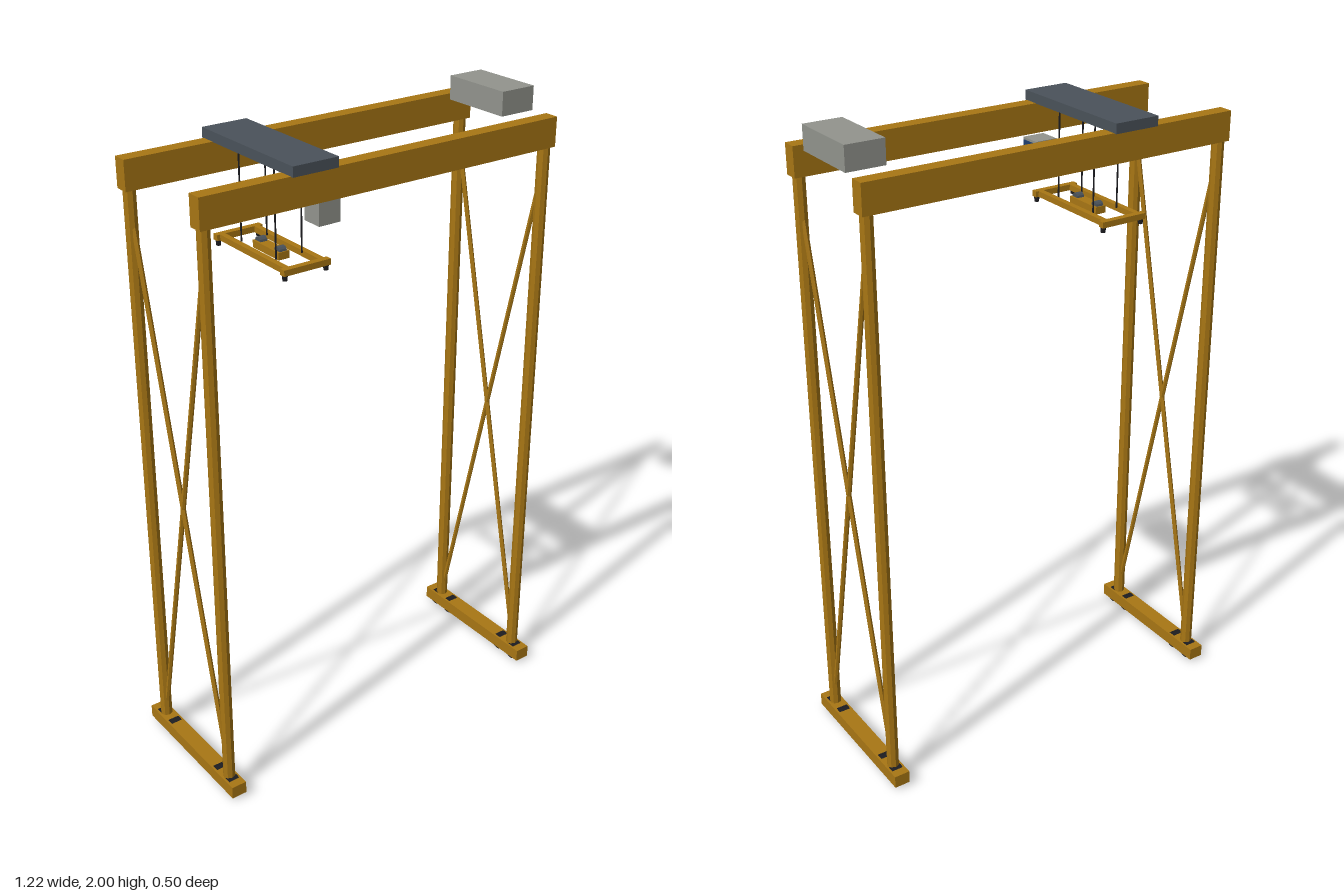
import * as THREE from 'three';

const mat = (color) => new THREE.MeshStandardMaterial({ color, flatShading: true });

export function createModel() {
  const crane = new THREE.Group();
  crane.name = 'gantryCrane';
  const yellow = mat(0xa87614), slate = mat(0x4a525a), grey = mat(0x92948d);
  const black = mat(0x1c1c20), glass = mat(0x1f3f6e);

  const add = (name, geometry, material, x, y, z, parent = crane) => {
    const mesh = new THREE.Mesh(geometry, material);
    mesh.name = name;
    mesh.position.set(x, y, z);
    parent.add(mesh);
    return mesh;
  };
  // box given by its size and centre
  const box = (name, material, [w, h, d], [x, y, z], parent) =>
    add(name, new THREE.BoxGeometry(w, h, d), material, x, y, z, parent);
  // round bar between two points
  const bar = (name, material, radius, a, b, sides, parent) => {
    const from = new THREE.Vector3(...a), to = new THREE.Vector3(...b);
    const dir = to.clone().sub(from);
    const mid = from.clone().add(to).multiplyScalar(0.5);
    const mesh = add(name, new THREE.CylinderGeometry(radius, radius, dir.length(), sides),
      material, mid.x, mid.y, mid.z, parent);
    mesh.quaternion.setFromUnitVectors(new THREE.Vector3(0, 1, 0), dir.normalize());
    return mesh;
  };

  // main girders
  for (const s of [-1, 1]) box('girder', yellow, [1.218, 0.09, 0.046], [0, 1.883, s * 0.191 - 0.002]);

  // side frames: legs, cross braces, end carriage and wheels
  for (const s of [-1, 1]) {
    const side = new THREE.Group();
    side.name = s > 0 ? 'leftSideFrame' : 'rightSideFrame';
    crane.add(side);
    const x = s * 0.586;
    for (const t of [-1, 1]) {
      const z = t * 0.191 - 0.002;
      bar('leg', yellow, 0.019, [x, 0.05, z], [x, 1.84, z], 8, side);
      bar('crossBrace', yellow, 0.0075, [x, 0.08, t * 0.188], [x, 1.77, -t * 0.19], 6, side);
      for (const w of [0.138, 0.207]) {
        bar('wheel', black, 0.028, [x - 0.018, 0.028, t * w - 0.002], [x + 0.018, 0.028, t * w - 0.002], 16, side);
      }
    }
    box('endCarriage', yellow, [0.05, 0.041, 0.495], [x, 0.0325, -0.002], side);
  }

  // machinery house at the left end
  box('machineryHouse', grey, [0.12, 0.073, 0.235], [0.541, 1.9635, -0.002]);

  // trolley, ropes and operator cab
  const cx = -0.257;
  box('trolley', slate, [0.147, 0.03, 0.445], [cx, 1.942, -0.002]);
  for (const s of [-1, 1]) {
    for (const t of [-1, 1]) {
      bar('hoistRope', black, 0.0025, [cx + s * 0.043, 1.655, t * 0.087], [cx + s * 0.043, 1.93, t * 0.087], 6);
    }
  }
  box('operatorCab', grey, [0.072, 0.073, 0.068], [-0.183, 1.794, 0.143]);
  box('cabWindow', glass, [0.005, 0.043, 0.056], [-0.146, 1.802, 0.143]);

  // spreader frame with corner locks
  const spreader = new THREE.Group();
  spreader.name = 'spreader';
  spreader.position.set(cx - 0.001, 1.65, -0.001);
  crane.add(spreader);
  for (const s of [-1, 1]) {
    box('spreaderRail', yellow, [0.018, 0.018, 0.33], [s * 0.058, 0, 0], spreader);
    box('spreaderEnd', yellow, [0.154, 0.018, 0.02], [0, 0, s * 0.169], spreader);
    for (const t of [-1, 1]) {
      add('cornerLock', new THREE.CylinderGeometry(0.009, 0.007, 0.022, 8), black, s * 0.068, -0.014, t * 0.168, spreader);
    }
    bar('sheave', slate, 0.014, [-0.012, 0.01, s * 0.048], [0.012, 0.01, s * 0.048], 12, spreader);
  }
  box('headBlock', yellow, [0.036, 0.022, 0.13], [0, 0, 0], spreader);

  return crane;
}
